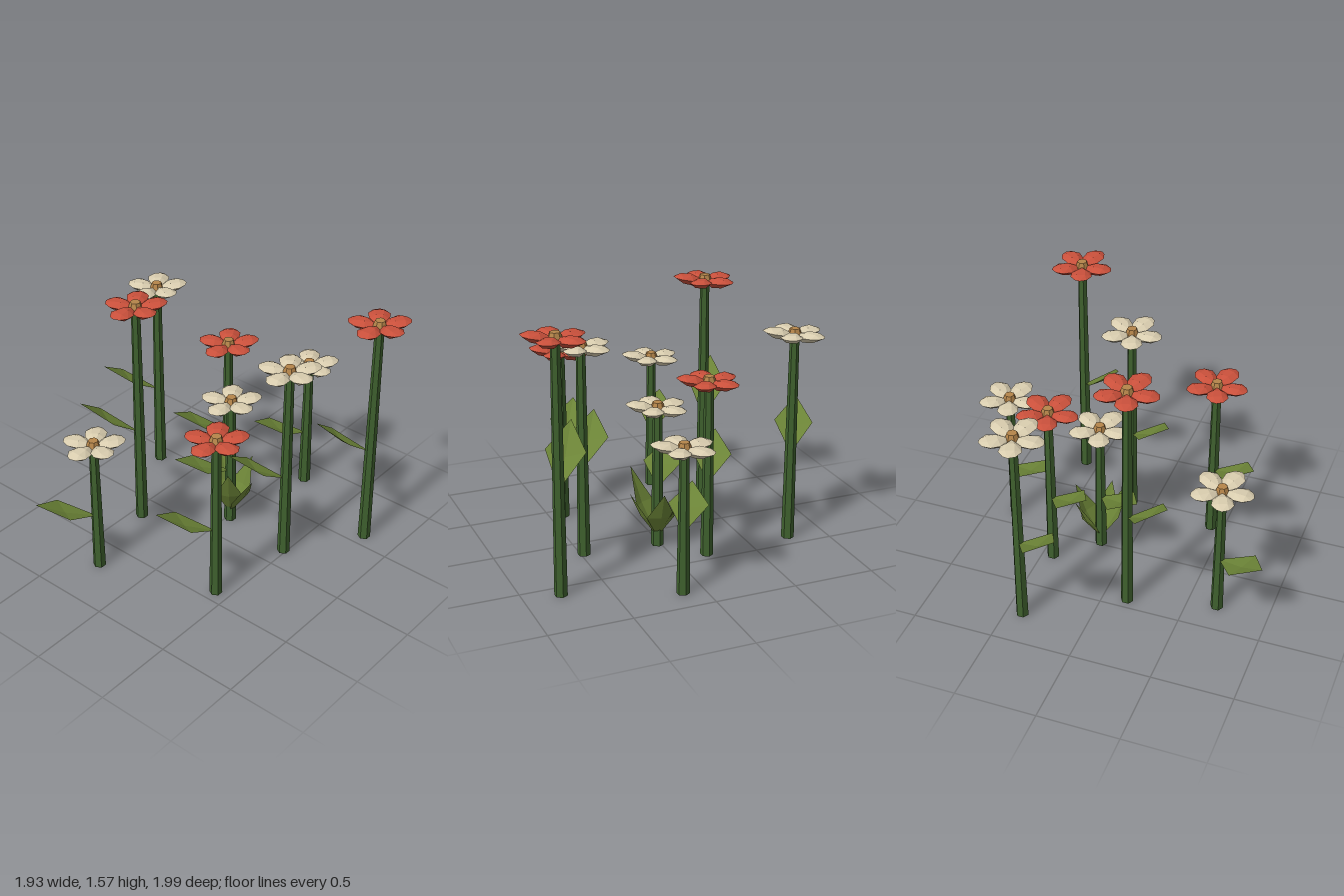
import * as THREE from 'three';
import { ConvexGeometry } from 'three/addons/geometries/ConvexGeometry.js';

const mat = (name, color, side = THREE.FrontSide) => {
  const m = new THREE.MeshStandardMaterial({ color, flatShading: true, side });
  m.name = name;
  return m;
};

export function createModel() {
  const model = new THREE.Group();
  model.name = 'flowerPatch';
  const stemGreen = mat('stemGreen', 0x3f612e);
  const leafGreen = mat('leafGreen', 0x6c8437, THREE.DoubleSide);
  const cream = mat('creamPetal', 0xd8ccae);
  const red = mat('redPetal', 0xc9503b);
  const tan = mat('tanCentre', 0xb5854a);
  const V = (x, y, z) => new THREE.Vector3(x, y, z);

  const add = (parent, name, geometry, material) => {
    const mesh = new THREE.Mesh(geometry, material);
    mesh.name = name;
    parent.add(mesh);
    return mesh;
  };

  // Diamond leaf: four faces meeting at a mid rib point
  const leafGeometry = (base, sideA, tip, sideB, mid) => {
    const rim = [base, sideA, tip, sideB];
    const points = [];
    rim.forEach((p, i) => points.push(mid, p, rim[(i + 1) % 4]));
    const g = new THREE.BufferGeometry().setFromPoints(points);
    g.computeVertexNormals();
    return g;
  };

  // Faceted petal lying along +x: broad rim, raised back and a keel below
  const half = [[0.02, -0.005, 0.018], [0.075, 0.004, 0.058], [0.135, 0.008, 0.066], [0.178, 0.006, 0.036],
    [0.085, 0.03, 0.022], [0.145, 0.026, 0.026], [0.06, -0.032, 0.02], [0.13, -0.022, 0.03]];
  const petalPoints = [V(0.192, 0.006, 0.006), V(0.03, 0.015, 0)];
  half.forEach(([x, y, z]) => petalPoints.push(V(x, y, z), V(x, y, -z)));
  const petalGeometry = new ConvexGeometry(petalPoints);

  // Flower centre: low faceted dome
  const centreGeometry = new THREE.CylinderGeometry(0.03, 0.048, 0.055, 7);

  const flower = (x, z, height, petalMaterial) => {
    const g = new THREE.Group();
    g.name = 'flower';
    g.position.set(x, 0, z);

    const stem = new THREE.CylinderGeometry(0.028, 0.039, height - 0.01, 6);
    stem.translate(0, (height - 0.01) / 2, 0);
    add(g, 'stem', stem, stemGreen);

    const head = new THREE.Group();
    head.name = 'flowerHead';
    head.position.y = height;
    for (let i = 0; i < 5; i++) {
      const angle = THREE.MathUtils.degToRad(54 + 72 * i);
      const petal = add(head, 'petal', petalGeometry, petalMaterial);
      petal.rotation.order = 'YXZ';
      petal.rotation.set(0, angle, 0.02 + 0.12 * Math.max(0, Math.cos(angle)));
    }
    add(head, 'flowerCentre', centreGeometry, tan).position.y = 0.015;
    g.add(head);

    // The leaf rises in proportion to the stem
    const k = height / 0.88;
    const leaf = leafGeometry(V(0, 0, 0), V(-0.21, 0.085 * k, 0.12), V(-0.19, 0.165 * k, 0.31),
      V(0, 0.095 * k, 0.22), V(-0.1, 0.07 * k, 0.165));
    add(g, 'stemLeaf', leaf, leafGreen).position.y = 0.425 * height;
    model.add(g);
  };

  [[0.13, -0.83, 0.88, cream], [0.02, -0.19, 0.88, cream], [-0.3, 0.68, 0.88, cream],
    [-0.2, -0.43, 1.09, red], [0.41, 0.42, 1.09, red],
    [-0.76, -0.4, 1.3, cream], [0.48, -0.15, 1.3, cream],
    [0.78, -0.59, 1.52, red], [-0.43, 0.15, 1.52, red]].forEach((f) => flower(...f));

  // Cluster of upright leaves around the foot of the middle flower
  const cluster = new THREE.Group();
  cluster.name = 'groundLeaves';
  cluster.position.set(0.02, 0.05, -0.19);
  [[-0.16, 0.37, -0.11], [0.11, 0.42, 0.16], [0.18, 0.32, 0.01], [0.03, 0.35, -0.18]].forEach(([x, y, z]) => {
    const out = V(x, 0, z).normalize();
    const across = V(-out.z, 0, out.x).multiplyScalar(0.085);
    const tip = V(x, y, z);
    const mid = tip.clone().multiplyScalar(0.48).addScaledVector(out, 0.02);
    const edge = tip.clone().multiplyScalar(0.48);
    const leaf = leafGeometry(V(0, 0, 0), edge.clone().add(across), tip, edge.clone().sub(across), mid);
    add(cluster, 'groundLeaf', leaf, leafGreen);
  });
  model.add(cluster);

  return model;
}
